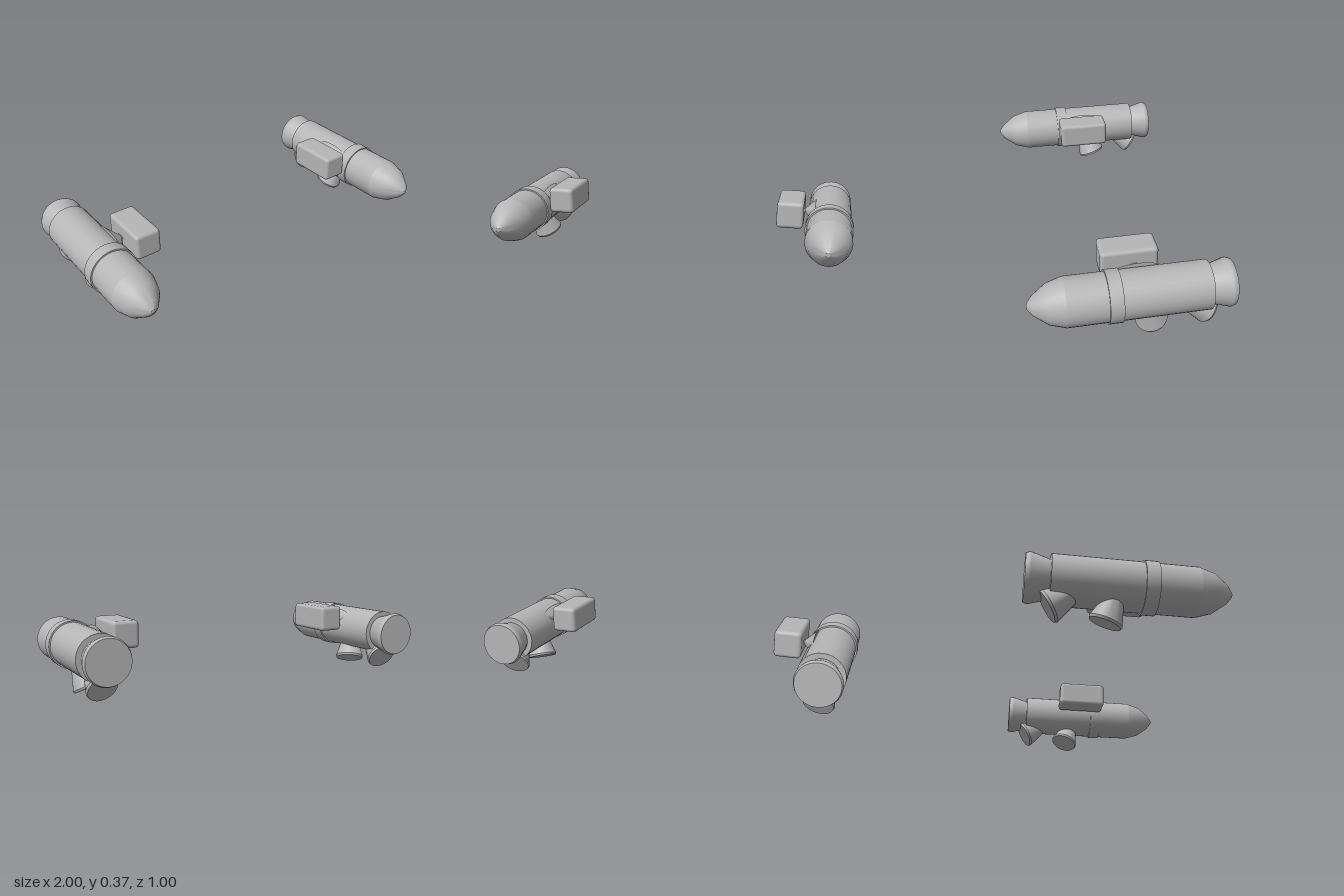
import * as THREE from 'three';
import { toCreasedNormals } from 'three/addons/utils/BufferGeometryUtils.js';
import { RoundedBoxGeometry } from 'three/addons/geometries/RoundedBoxGeometry.js';

const grey = new THREE.MeshStandardMaterial({ color: 0xb6b6b6 });
grey.name = 'hull grey';

const UP = new THREE.Vector3(0, 1, 0);

// Solid of revolution: [radius, distance] pairs along the direction from start
function turned(name, profile, start, direction) {
  const points = profile.map(([r, d]) => new THREE.Vector2(r, d));
  const geometry = toCreasedNormals(new THREE.LatheGeometry(points, 32), 0.5);
  const mesh = new THREE.Mesh(geometry, grey);
  mesh.name = name;
  mesh.position.set(...start);
  mesh.quaternion.setFromUnitVectors(UP, new THREE.Vector3(...direction).normalize());
  return mesh;
}

// Flared, closed thruster bell whose outlet is centred on exit
function thruster(name, exit, direction, length, throat, mouth) {
  const dir = new THREE.Vector3(...direction).normalize();
  const start = new THREE.Vector3(...exit).addScaledVector(dir, -length);
  const profile = [[0, 0], [throat, 0], [mouth, length - 0.012], [mouth * 0.95, length], [0, length]];
  return turned(name, profile, start.toArray(), direction);
}

// One pod; side is +1 for left and -1 for right
function createPod(side) {
  const pod = new THREE.Group();
  pod.name = side > 0 ? 'leftPod' : 'rightPod';
  const x = 0.87 * side;
  const y = 0.232;
  const forward = [0, 0, 1];

  // Hull, collar and pointed nose
  pod.add(
    turned('body', [[0, 0], [0.122, 0], [0.122, 0.7], [0, 0.7]], [x, y, -0.38], forward),
    turned('collar', [[0, 0], [0.13, 0], [0.13, 0.067], [0, 0.067]], [x, y, 0.055], forward),
    turned('nose', [[0.122, 0], [0.098, 0.08], [0.047, 0.15], [0.012, 0.177], [0, 0.178]], [x, y, 0.32], forward)
  );

  // Main nozzle and two steering thrusters underneath
  pod.add(
    turned('mainNozzle', [[0, 0], [0.088, 0], [0.094, 0.02], [0.12, 0.11], [0.121, 0.118], [0.114, 0.137], [0, 0.137]],
      [x, y, -0.36], [0, 0, -1]),
    thruster('frontThruster', [0.845 * side, 0.036, -0.117], [-0.3 * side, -1, -0.35], 0.14, 0.042, 0.083),
    thruster('rearThruster', [0.865 * side, 0.087, -0.388], [-0.12 * side, -0.52, -0.85], 0.16, 0.036, 0.083)
  );

  // Inner box with its flared mount
  const box = new THREE.Mesh(new RoundedBoxGeometry(0.145, 0.145, 0.29, 2, 0.02), grey);
  box.name = 'mountBox';
  box.position.set(0.658 * side, 0.3, -0.025);
  const mount = turned('mount', [[0, 0], [0.14, 0], [0.025, 0.055], [0.025, 0.075], [0, 0.075]],
    [0.79 * side, 0.29, -0.05], [-side, 0, 0]);
  mount.scale.x = 0.4;
  pod.add(box, mount);
  return pod;
}

export function createModel() {
  const model = new THREE.Group();
  model.name = 'boosterPods';
  for (const side of [1, -1]) model.add(createPod(side));
  return model;
}
